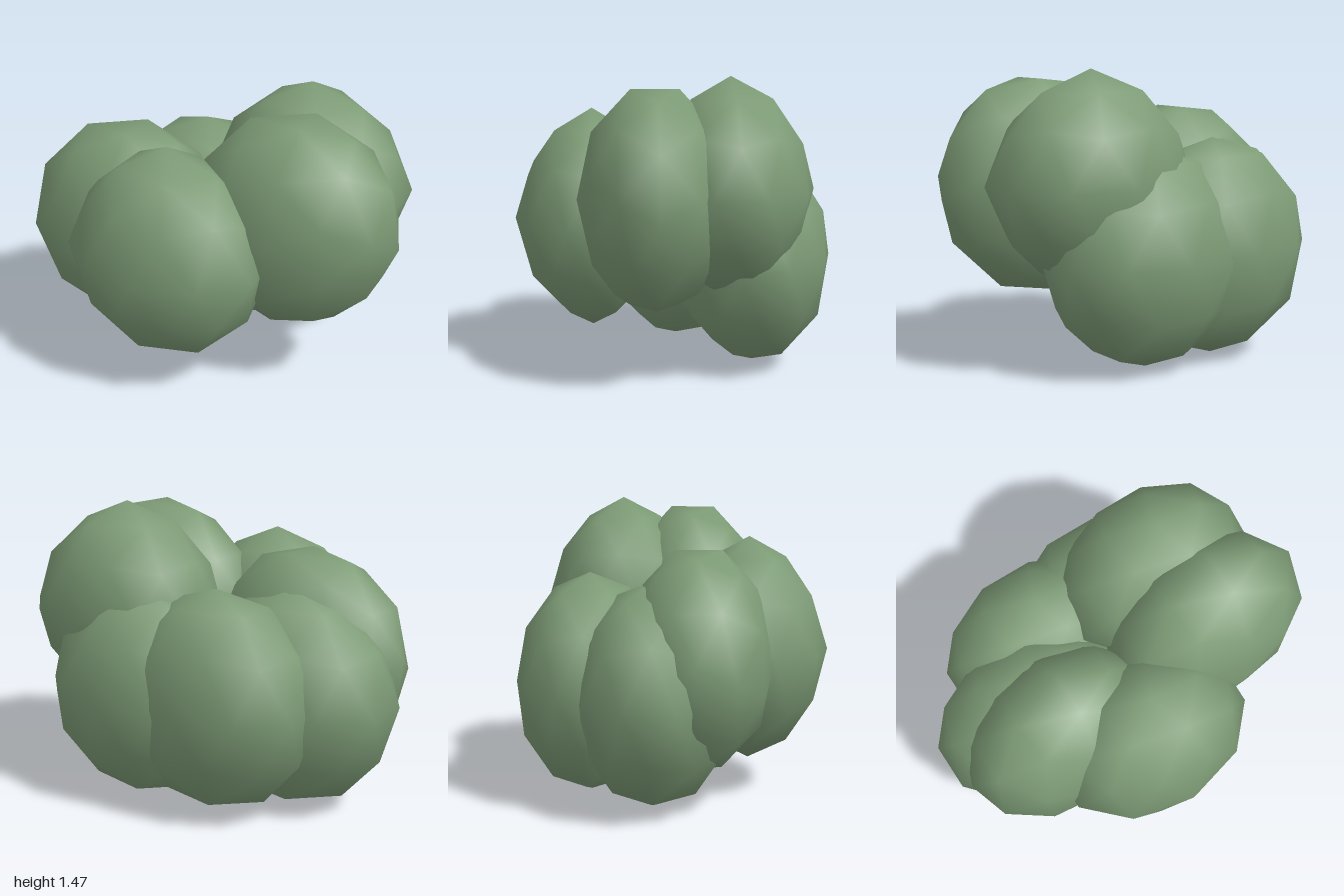
import * as THREE from 'three';

// Round 80-sided puff with a corner at each pole; fullness pulls in the rings between pole and equator
function puffGeometry(fullness) {
  const geometry = new THREE.IcosahedronGeometry(1, 1);
  geometry.rotateZ(-Math.atan(2 / (1 + Math.sqrt(5))));
  const position = geometry.attributes.position;
  const v = new THREE.Vector3();
  for (let i = 0; i < position.count; i++) {
    v.fromBufferAttribute(position, i);
    const height = Math.abs(v.y);
    if (height > 0.1 && height < 0.99) v.multiplyScalar(fullness);
    position.setXYZ(i, v.x, v.y, v.z);
  }
  return geometry;
}

export function createModel() {
  const group = new THREE.Group();
  group.name = 'foliageClump';

  const leafGreen = new THREE.MeshStandardMaterial({ color: 0x7d9b76 });
  leafGreen.name = 'leafGreen';

  const full = puffGeometry(1);
  const slim = puffGeometry(0.95);

  // name, shape, centre, radii, tilt about z
  const puffs = [
    ['frontPuff', slim, [-0.07, 0.72, 0.4], [0.535, 0.57, 0.4], 0],
    ['leftUpperPuff', full, [0.465, 0.885, 0.1], [0.545, 0.565, 0.373], -0.56],
    ['topPuff', slim, [0.4, 0.925, -0.27], [0.537, 0.545, 0.41], 0],
    ['rightUpperPuff', full, [-0.435, 0.72, 0.15], [0.53, 0.555, 0.373], -0.56],
    ['rightLowerPuff', full, [-0.47, 0.55, -0.06], [0.557, 0.55, 0.4], 0],
    ['backRightPuff', full, [-0.24, 0.57, -0.39], [0.537, 0.55, 0.375], 0],
    ['backLeftPuff', full, [0.18, 0.56, -0.41], [0.537, 0.545, 0.39], 0],
  ];
  for (const [name, shape, centre, radii, tilt] of puffs) {
    const mesh = new THREE.Mesh(shape, leafGreen);
    mesh.name = name;
    mesh.position.set(...centre);
    mesh.scale.set(...radii);
    mesh.rotation.z = tilt;
    group.add(mesh);
  }
  return group;
}
